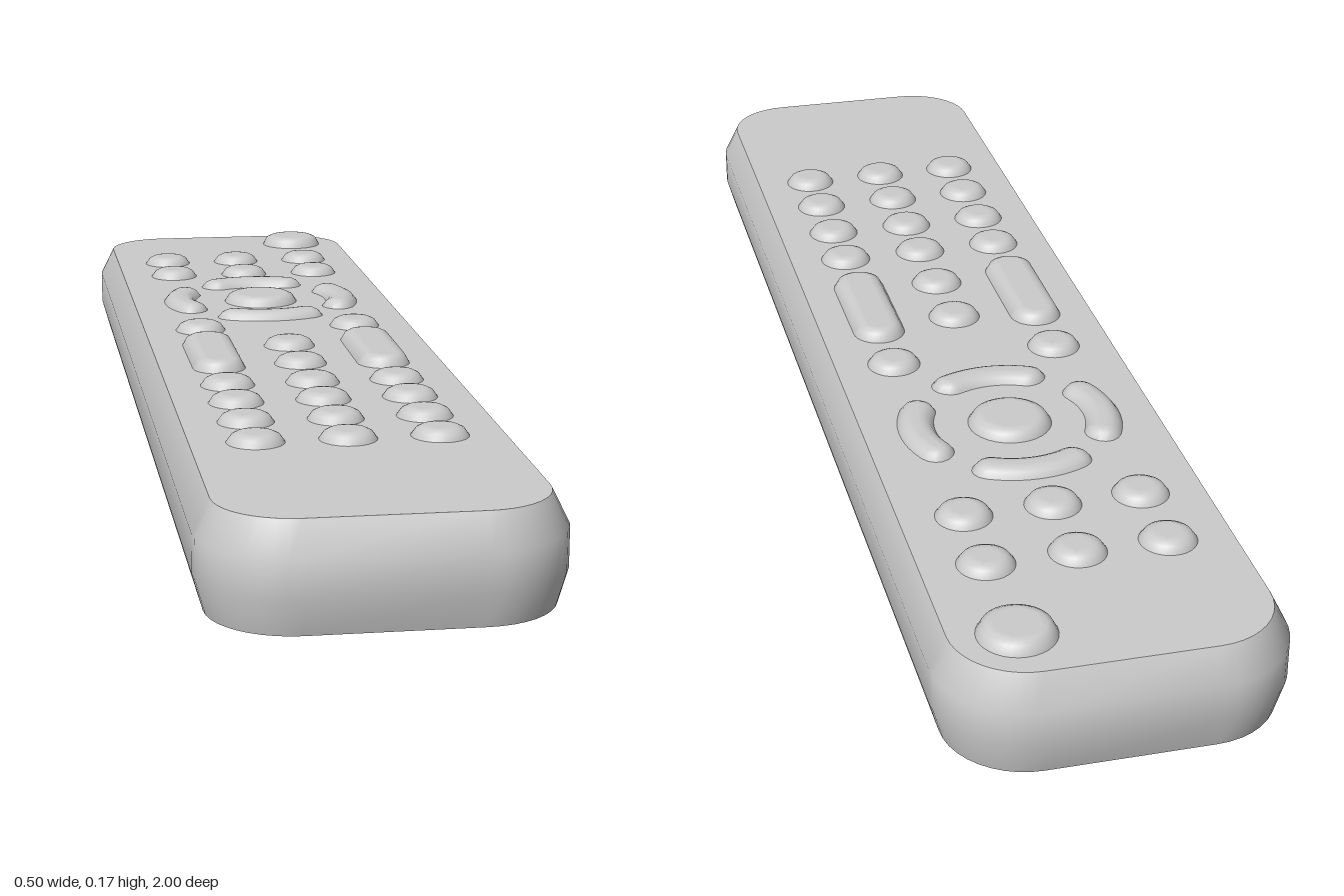
import * as THREE from 'three';

const material = new THREE.MeshStandardMaterial({ color: 0xcccccc });

// Counter-clockwise rounded rectangle; straight runs are split into `split` pieces.
function roundedRect(hw, hl, r, steps, split = 1) {
  const pts = [];
  const add = (x, y) => {
    const p = new THREE.Vector2(x, y);
    const last = pts[pts.length - 1];
    if (!last || (last.distanceTo(p) > 1e-5 && pts[0].distanceTo(p) > 1e-5)) pts.push(p);
  };
  const signs = [[1, 1], [-1, 1], [-1, -1], [1, -1]];
  signs.forEach(([sx, sy], k) => {
    for (let i = 0; i <= steps; i++) {
      const a = (k + i / steps) * Math.PI / 2;
      add(sx * (hw - r) + r * Math.cos(a), sy * (hl - r) + r * Math.sin(a));
    }
    const next = signs[(k + 1) % 4];
    const end = (k + 1) * Math.PI / 2;
    for (let i = 1; i < split; i++) {
      const t = i / split;
      add(THREE.MathUtils.lerp(sx, next[0], t) * (hw - r) + r * Math.cos(end),
        THREE.MathUtils.lerp(sy, next[1], t) * (hl - r) + r * Math.sin(end));
    }
  });
  return pts;
}

// Stack outlines at [inset, height] levels and close the top (and bottom).
function loft(outline, levels, sharp, closeBottom) {
  const pos = [], index = [];
  const rings = levels.map(([inset]) => outline(inset));
  const n = rings[0].length;
  const addRing = (k) => {
    const start = pos.length / 3;
    rings[k].forEach((p) => pos.push(p.x, levels[k][1], -p.y));
    return start;
  };
  levels.forEach((_, k) => addRing(k));
  for (let k = 0; k < levels.length - 1; k++) {
    for (let i = 0; i < n; i++) {
      const a = k * n + i, b = k * n + (i + 1) % n;
      index.push(a, b, b + n, a, b + n, a + n);
    }
  }
  const top = levels.length - 1;
  const topStart = sharp ? addRing(top) : top * n;
  THREE.ShapeUtils.triangulateShape(rings[top], []).forEach(([a, b, c]) =>
    index.push(topStart + a, topStart + b, topStart + c));
  if (closeBottom) {
    const start = addRing(0);
    THREE.ShapeUtils.triangulateShape(rings[0], []).forEach(([a, b, c]) =>
      index.push(start + a, start + c, start + b));
  }
  const geo = new THREE.BufferGeometry();
  geo.setAttribute('position', new THREE.Float32BufferAttribute(pos, 3));
  geo.setIndex(index);
  geo.computeVertexNormals();
  return geo;
}

// Soft key profile, rising from the face of the body
const keyLevels = (top) => [[0, 0.148], [0, 0.153], [0.007, top - 0.005], [0.015, top - 0.001], [0.022, top]];

function roundedKey(hw, hl, top) {
  return loft((d) => roundedRect(hw - d, hl - d, hw - d, 8), keyLevels(top), false, false);
}

// Rounded bar bent around the middle of the navigation ring
function arcKey(angle) {
  const mid = 0.144, half = 0.028, span = 0.64 * mid;
  const outline = (d) => roundedRect(span - d, half - d, 0.0265 - d, 4, 12).map((p) => {
    const a = angle - p.x / mid, r = mid + p.y;
    return new THREE.Vector2(r * Math.cos(a), r * Math.sin(a));
  });
  return loft(outline, keyLevels(0.167), false, false);
}

export function createModel() {
  const model = new THREE.Group();
  const add = (name, geo, x = 0, z = 0) => {
    const mesh = new THREE.Mesh(geo, material);
    mesh.name = name;
    mesh.position.set(x, 0, z);
    model.add(mesh);
  };

  // Case: narrow base, full-width waist, chamfered top edge
  add('body', loft((d) => roundedRect(0.25 - d, 1 - d, 0.13 - d, 10),
    [[0.014, 0], [0, 0.05], [0, 0.105], [0.024, 0.153]], true, true));

  // Power key in the back left corner
  add('powerKey', roundedKey(0.056, 0.056, 0.171), 0.133, -0.885);

  // Round keys: rows of three, then the outer and middle keys around the rockers
  const col = 0.132;
  const keyGeo = roundedKey(0.042, 0.042, 0.168);
  [-0.714, -0.586, 0.273, 0.382, 0.496, 0.607].forEach((z) =>
    [-col, 0, col].forEach((x) => add('roundKey', keyGeo, x, z)));
  [-col, col].forEach((x) => add('sideKey', keyGeo, x, -0.119));
  [0.019, 0.146].forEach((z) => add('middleKey', keyGeo, 0, z));

  // Long rocker keys
  const rockerGeo = roundedKey(0.042, 0.123, 0.171);
  [-col, col].forEach((x) => add('rockerKey', rockerGeo, x, 0.077));

  // Navigation ring with its centre key
  add('centreKey', roundedKey(0.064, 0.064, 0.169), 0, -0.342);
  for (let i = 0; i < 4; i++) add('arrowKey', arcKey(i * Math.PI / 2), 0, -0.342);

  return model;
}
